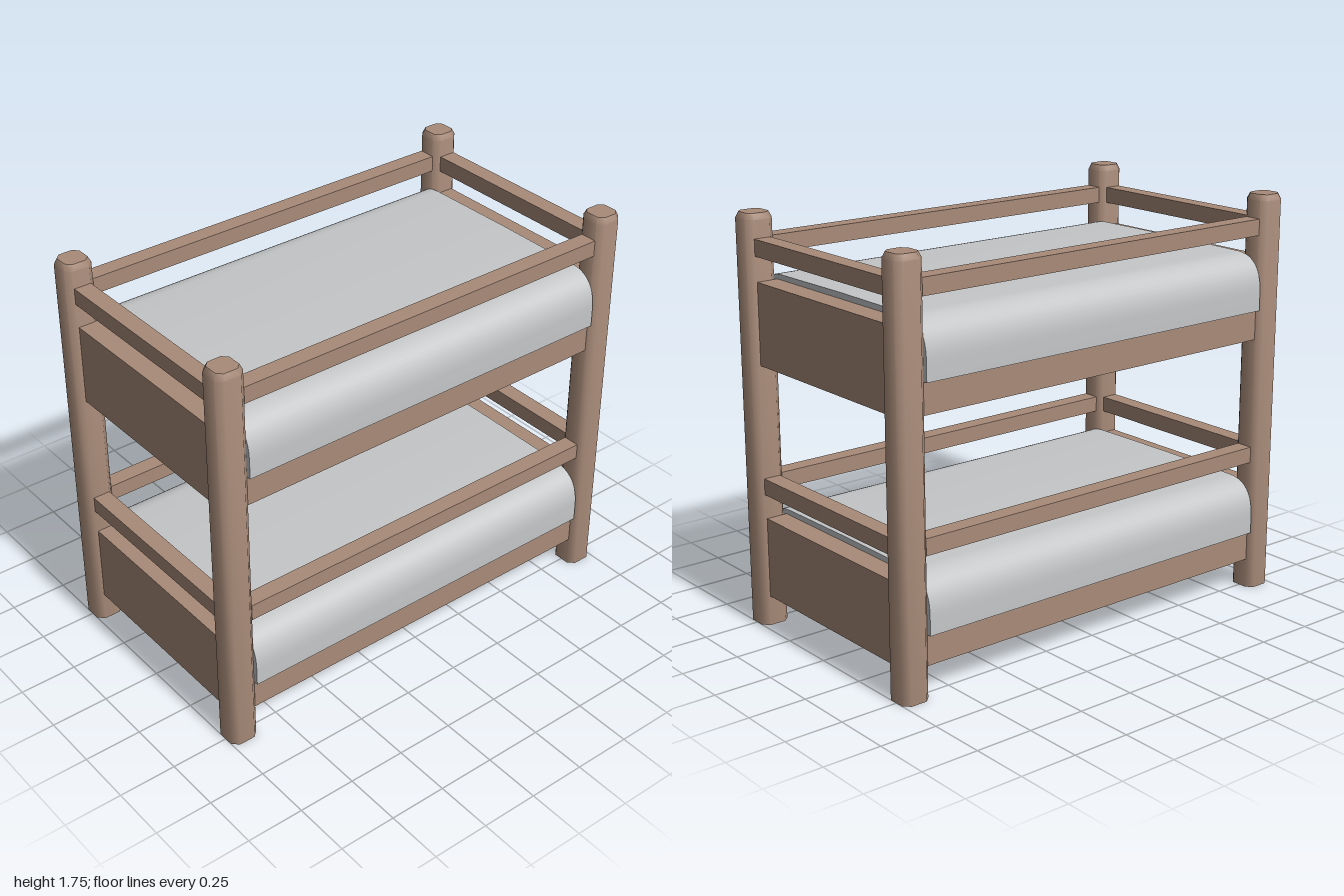
import * as THREE from 'three';
import { toCreasedNormals } from 'three/addons/utils/BufferGeometryUtils.js';

const wood = new THREE.MeshStandardMaterial({ color: 0xa88b79 });
wood.name = 'brown wood';
const fabric = new THREE.MeshStandardMaterial({ color: 0xc4c6c8 });
fabric.name = 'light grey fabric';

function add(parent, name, geometry, material, x = 0, y = 0, z = 0) {
  const mesh = new THREE.Mesh(geometry, material);
  mesh.name = name;
  mesh.position.set(x, y, z);
  parent.add(mesh);
  return mesh;
}

// Square post with chamfered corners and a bevelled top
function postGeometry() {
  const profile = [[0, 0], [1, 0], [1, 1.725], [0.82, 1.75], [0, 1.75]]
    .map(([r, y]) => new THREE.Vector2(r, y));
  const geo = new THREE.LatheGeometry(profile, 8, Math.PI / 8);
  const pos = geo.attributes.position;
  // Push the round section out to a square with cut corners
  const square = (v, r) => Math.sign(v) * r * (Math.abs(v) > 0.6 * r ? 0.0625 : 0.036);
  for (let i = 0; i < pos.count; i++) {
    const x = pos.getX(i), z = pos.getZ(i), r = Math.hypot(x, z);
    if (r < 0.01) continue;
    pos.setX(i, square(x, r));
    pos.setZ(i, square(z, r));
  }
  return toCreasedNormals(geo, 0.87);
}

// Mattress section with rounded long edges, drawn along the bed
function mattressGeometry() {
  const s = new THREE.Shape();
  s.moveTo(-0.556, 0.26);
  s.lineTo(0.556, 0.26);
  s.lineTo(0.556, 0.34);
  s.bezierCurveTo(0.556, 0.44, 0.51, 0.495, 0.42, 0.497);
  s.lineTo(0, 0.5);
  s.lineTo(-0.42, 0.497);
  s.bezierCurveTo(-0.51, 0.495, -0.556, 0.44, -0.556, 0.34);
  s.closePath();
  const geo = new THREE.ExtrudeGeometry(s, { depth: 1.75, bevelEnabled: false, curveSegments: 12 });
  geo.translate(0, 0, -0.875);
  geo.rotateY(Math.PI / 2);
  return toCreasedNormals(geo, 0.7);
}

export function createModel() {
  const model = new THREE.Group();
  model.name = 'bunkBed';

  // Corner posts
  const post = postGeometry();
  for (const x of [-1, 1])
    for (const z of [-1, 1]) add(model, 'post', post, wood, x * 0.9375, 0, z * 0.5);

  // Two identical beds
  const mattress = mattressGeometry();
  const base = new THREE.BoxGeometry(1.75, 0.13, 1.07);
  const endPanel = new THREE.BoxGeometry(0.095, 0.345, 0.88);
  const sideRail = new THREE.BoxGeometry(1.75, 0.07, 0.075);
  const endRail = new THREE.BoxGeometry(0.075, 0.07, 0.88);
  ['lowerBed', 'upperBed'].forEach((name, level) => {
    const bed = new THREE.Group();
    bed.name = name;
    bed.position.y = level;
    add(bed, 'bedBase', base, wood, 0, 0.195, 0);
    add(bed, 'mattress', mattress, fabric);
    for (const s of [-1, 1]) {
      add(bed, 'endPanel', endPanel, wood, s * 0.9225, 0.3025, 0);
      add(bed, 'sideRail', sideRail, wood, 0, 0.615, s * 0.5);
      add(bed, 'endRail', endRail, wood, s * 0.9375, 0.615, 0);
    }
    model.add(bed);
  });

  return model;
}
